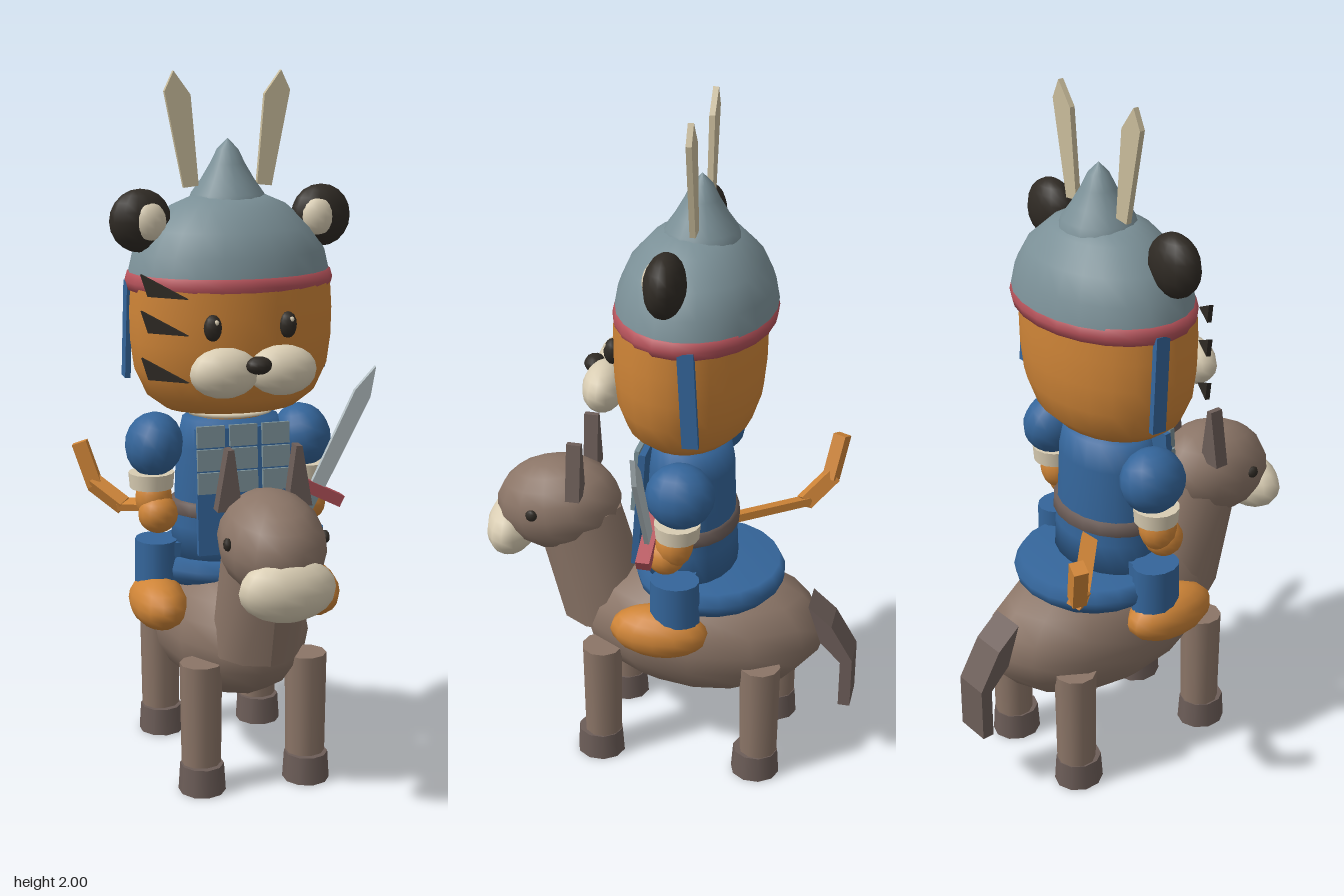
import * as THREE from 'three';

const mat = (name, color) => {
  const m = new THREE.MeshStandardMaterial({ color });
  m.name = name;
  return m;
};

export function createModel() {
  const orange = mat('orange fur', 0xce8437);
  const blue = mat('blue cloth', 0x34659a);
  const steel = mat('grey steel', 0x7b9097);
  const dark = mat('dark fur', 0x2f2a24);
  const cream = mat('cream', 0xd9cdb3);
  const brown = mat('mount brown', 0x8b7567);
  const darkBrown = mat('dark brown', 0x6c5d58);
  const red = mat('red', 0xb5525a);
  const silver = mat('silver', 0xb4bfc3);
  const horn = mat('horn', 0xc9bc9b);

  const root = new THREE.Group();
  const model = new THREE.Group();
  model.name = 'rider and mount';
  model.position.x = -0.015;
  root.add(model);

  const add = (name, geo, m, p = [0, 0, 0], parent = model) => {
    const mesh = new THREE.Mesh(geo, m);
    mesh.name = name;
    mesh.position.set(...p);
    parent.add(mesh);
    return mesh;
  };
  const ball = (name, m, p, r, w = 14, h = 10) =>
    add(name, new THREE.SphereGeometry(1, w, h).scale(...r), m, p);
  const box = (name, m, p, s, parent) => add(name, new THREE.BoxGeometry(...s), m, p, parent);
  const lathe = (name, m, pts, z, zScale, seg = 20) =>
    add(name, new THREE.LatheGeometry(pts.map(p => new THREE.Vector2(...p)), seg).scale(1, 1, zScale), m, [0, 0, z]);
  // Flat outline in x/y with a thickness centred on z
  const plate = (pts, depth) =>
    new THREE.ExtrudeGeometry(new THREE.Shape(pts.map(p => new THREE.Vector2(...p))), { depth, bevelEnabled: false })
      .translate(0, 0, -depth / 2);
  // Square bar between two points
  const bar = (name, m, a, b, w, h) => {
    const A = new THREE.Vector3(...a), B = new THREE.Vector3(...b);
    const mesh = box(name, m, A.clone().lerp(B, 0.5).toArray(), [w, h, A.distanceTo(B) + 0.012]);
    mesh.quaternion.setFromUnitVectors(new THREE.Vector3(0, 0, 1), B.clone().sub(A).normalize());
    return mesh;
  };
  const sides = fn => [-1, 1].forEach(fn);

  // ---- Mount ----
  ball('mountBody', brown, [0, 0.415, -0.095], [0.22, 0.207, 0.37], 12, 10);
  const neck = new THREE.CylinderGeometry(0.115, 0.122, 0.36, 10).scale(1, 1, 1.2);
  const np = neck.attributes.position;
  for (let i = 0; i < np.count; i++) np.setZ(i, np.getZ(i) + np.getY(i) * 0.28);
  neck.computeVertexNormals();
  add('mountNeck', neck, brown, [0, 0.585, 0.24]);
  ball('mountHead', brown, [0, 0.762, 0.34], [0.145, 0.142, 0.188]).rotation.x = 0.15;
  ball('mountMuzzle', cream, [0, 0.672, 0.482], [0.135, 0.088, 0.075]);

  // Mount tail
  const tail = plate([[-0.42, 0.53], [-0.46, 0.41], [-0.52, 0.35], [-0.52, 0.2], [-0.555, 0.2], [-0.555, 0.36], [-0.49, 0.47]], 0.105);
  add('mountTail', tail.rotateY(-Math.PI / 2), darkBrown);

  sides(s => {
    ball('mountEye', dark, [s * 0.137, 0.78, 0.385], [0.012, 0.018, 0.018], 8, 6);
    const ear = plate([[-0.035, 0.84], [0.035, 0.84], [0.005, 1.01], [-0.012, 1.01]].map(([x, y]) => [x * s, y]), 0.042);
    add('mountEar', ear, darkBrown, [s * 0.1, 0, 0.262]);
    [0.175, -0.3].forEach(z => {
      add('mountLeg', new THREE.CylinderGeometry(0.06, 0.056, 0.31, 10), brown, [s * 0.155, 0.222, z]);
      add('hoof', new THREE.CylinderGeometry(0.062, 0.067, 0.08, 10).scale(1, 1, 1.08), darkBrown, [s * 0.155, 0.04, z + 0.008]);
    });
  });

  // ---- Saddle ----
  lathe('saddle', blue, [[0, 0.545], [0.2, 0.55], [0.225, 0.575], [0.23, 0.6], [0.212, 0.632], [0, 0.634]], -0.12, 0.95);

  // ---- Rider body ----
  lathe('torso', blue, [[0, 0.6], [0.178, 0.62], [0.172, 0.72], [0.165, 0.8], [0.158, 0.95], [0.14, 1.03], [0, 1.045]], -0.06, 0.77);
  lathe('belt', darkBrown, [[0.165, 0.752], [0.18, 0.758], [0.178, 0.792], [0.16, 0.798]], -0.06, 0.77);
  lathe('collar', cream, [[0.1, 1.035], [0.122, 1.04], [0.12, 1.05], [0, 1.055]], -0.06, 0.77);
  lathe('riderNeck', orange, [[0.1, 1.03], [0.1, 1.08]], -0.06, 0.8);

  // Chest armour: rows of small plates over a blue apron
  const armour = new THREE.Group();
  armour.name = 'chestArmour';
  armour.position.set(0, 0.94, 0.072);
  armour.rotation.x = -0.07;
  model.add(armour);
  box('apron', blue, [0, -0.1, -0.012], [0.27, 0.36, 0.02], armour);
  for (let r = 0; r < 3; r++)
    for (let c = -1; c <= 1; c++)
      box('armourPlate', steel, [c * 0.095, 0.06 - r * 0.066, 0.003], [0.08, 0.06, 0.014], armour);

  sides(s => {
    // Arms
    const sleeve = ball('sleeve', blue, [s * 0.222, 0.955, -0.075], [0.083, 0.093, 0.098]);
    sleeve.rotation.z = s * 0.25;
    add('cuff', new THREE.CylinderGeometry(0.066, 0.062, 0.045, 14), cream, [s * 0.232, 0.853, -0.07]);
    ball('forearm', orange, [s * 0.228, 0.8, -0.06], [0.054, 0.065, 0.054]);
    ball('hand', orange, [s * 0.222, 0.76, -0.035], [0.058, 0.056, 0.056]);
    // Legs
    bar('thigh', blue, [s * 0.08, 0.625, -0.06], [s * 0.22, 0.625, -0.06], 0.1, 0.1);
    add('trouserLeg', new THREE.CylinderGeometry(0.06, 0.062, 0.14, 14).scale(1, 1, 1.18), blue, [s * 0.222, 0.61, -0.06]);
    ball('foot', orange, [s * 0.23, 0.505, -0.015], [0.08, 0.076, 0.143]);
  });

  // Rider tail
  const path = [[-0.06, 0.735, -0.17], [-0.255, 0.705, -0.355], [-0.325, 0.76, -0.42], [-0.362, 0.88, -0.442]];
  for (let i = 0; i < 3; i++) bar('riderTail', orange, path[i], path[i + 1], 0.045, i ? 0.04 : 0.022);

  // Sword
  const sword = new THREE.Group();
  sword.name = 'sword';
  sword.position.set(0.237, 0.808, 0.01);
  sword.rotation.z = -0.468;
  model.add(sword);
  add('blade', plate([[-0.022, 0], [0.022, 0], [0.026, 0.31], [0, 0.397], [-0.026, 0.31]], 0.014), silver, [0, 0, 0], sword);
  box('guard', red, [0, 0, 0], [0.17, 0.035, 0.04], sword);
  box('grip', steel, [0, -0.06, 0], [0.03, 0.1, 0.026], sword);

  // ---- Rider head ----
  lathe('head', orange, [[0, 1.06], [0.19, 1.064], [0.245, 1.105], [0.28, 1.18], [0.291, 1.26], [0.293, 1.34], [0.288, 1.42]], -0.055, 0.72, 24);
  ball('nose', dark, [0, 1.226, 0.222], [0.037, 0.025, 0.03], 10, 8);
  sides(s => {
    ball('cheek', cream, [s * 0.083, 1.2, 0.172], [0.098, 0.07, 0.06]);
    ball('eye', dark, [s * 0.107, 1.32, 0.142], [0.026, 0.037, 0.024], 10, 8);
    ball('eyeGlint', cream, [s * 0.107 + 0.006, 1.337, 0.16], [0.007, 0.008, 0.006], 6, 4);
    ball('ear', dark, [s * 0.262, 1.597, -0.042], [0.088, 0.088, 0.056]);
    ball('innerEar', cream, [s * 0.245, 1.597, -0.012], [0.05, 0.056, 0.034]);
    // Helmet strap
    const strap = box('strap', blue, [s * 0.288, 1.285, -0.11], [0.016, 0.275, 0.045]);
    strap.rotation.x = 0.06;
    strap.rotation.z = s * 0.02;
  });

  // Cheek stripes on the right side
  [1.43, 1.33, 1.2].forEach(y => {
    const stripe = add('cheekStripe', plate([[-0.065, 0.034], [-0.045, -0.026], [0.068, -0.03]], 0.012), dark, [-0.232, y, 0.098]);
    stripe.rotation.y = -0.53;
  });

  // Helmet
  lathe('headband', red, [[0.27, 1.398], [0.292, 1.402], [0.299, 1.425], [0.292, 1.45], [0.27, 1.452]], -0.07, 0.755, 24);
  lathe('helmet', steel, [[0.289, 1.445], [0.275, 1.505], [0.237, 1.57], [0.165, 1.632], [0.1, 1.66], [0, 1.67]], -0.072, 0.77, 24);
  lathe('helmetSpike', steel, [[0.112, 1.64], [0.104, 1.663], [0.077, 1.7], [0.05, 1.745], [0.03, 1.785], [0, 1.815]], -0.083, 0.95, 16);

  // Helmet horns
  sides(s => {
    const pts = [[0.085, 1.685], [0.128, 1.68], [0.181, 1.945], [0.155, 2], [0.107, 1.935]];
    add('horn', plate(pts.map(([x, y]) => [x * s, y]), 0.016), horn, [0, 0, -0.085]);
  });

  return root;
}
